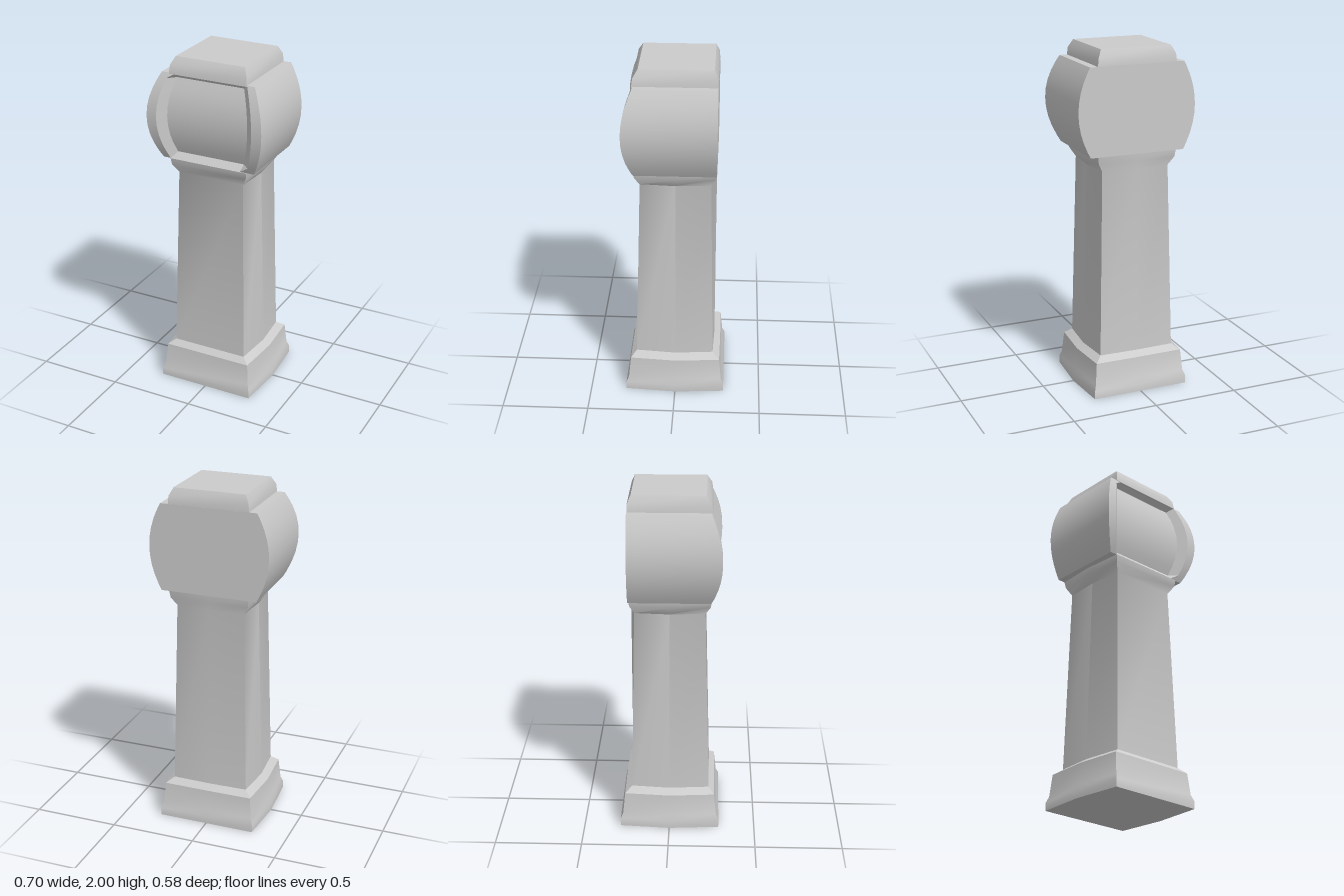
import * as THREE from 'three';
import { toCreasedNormals } from 'three/addons/utils/BufferGeometryUtils.js';

const material = new THREE.MeshStandardMaterial({ color: 0xcccccc });

// Skin over a stack of rings { y, pts: [[x, z], ...] }, closed at both ends.
function loft(name, rings) {
  const n = rings[0].pts.length, pos = [], index = [];
  rings.forEach(r => r.pts.forEach(([x, z]) => pos.push(x, r.y, z)));
  for (let i = 0; i < rings.length - 1; i++) {
    for (let j = 0; j < n; j++) {
      const a = i * n + j, b = i * n + (j + 1) % n;
      index.push(a, b, b + n, a, b + n, a + n);
    }
  }
  const last = (rings.length - 1) * n, bottom = pos.length / 3;
  pos.push(0, rings[0].y, 0, 0, rings[rings.length - 1].y, 0);
  for (let j = 0; j < n; j++) {
    const k = (j + 1) % n;
    index.push(bottom, k, j, bottom + 1, last + j, last + k);
  }
  const geo = new THREE.BufferGeometry();
  geo.setAttribute('position', new THREE.Float32BufferAttribute(pos, 3));
  geo.setIndex(index);
  const mesh = new THREE.Mesh(toCreasedNormals(geo, 0.6), material);
  mesh.name = name;
  return mesh;
}

// Adds the mirrored half to a list of points running from front to back on +x.
const mirror = half => [...half, ...half.filter(p => p[0] > 0).reverse().map(([x, z]) => [-x, z])];

// Rectangle with bowed sides and a bowed back.
const bowed = ([y, cornerX, midX, front, backCorner, backMid]) => ({
  y, pts: mirror([[cornerX, front], [midX, 0], [cornerX, backCorner], [0, backMid]]),
});

// Barrel section: bulging sides and front, sunken front panel, flat back.
function headRing(y, depth, inset) {
  const t = (y - 1.66) / 0.25, bulge = 1 - t * t;
  const w = 0.28 + 0.07 * bulge, f = 0.23 + 0.06 * bulge;
  const rim = 0.235 + 0.055 * bulge;
  return { y, pts: mirror([[rim - inset, f - depth], [rim, f], [w, f], [w, -0.23]]) };
}

export function createModel() {
  const group = new THREE.Group();
  group.name = 'pillar';

  // Foot with a stepped moulding
  group.add(loft('plinth', [
    [0, 0.288, 0.31, 0.29, -0.287, -0.287],
    [0.045, 0.288, 0.31, 0.29, -0.287, -0.287],
    [0.08, 0.276, 0.295, 0.275, -0.272, -0.272],
    [0.205, 0.265, 0.285, 0.262, -0.26, -0.262],
    [0.235, 0.225, 0.245, 0.23, -0.22, -0.226],
  ].map(bowed)));

  // Tapering shaft flaring out under the head
  group.add(loft('shaft', [
    [0.23, 0.225, 0.245, 0.23, -0.22, -0.226],
    [1.32, 0.2, 0.215, 0.2, -0.198, -0.226],
    [1.37, 0.23, 0.248, 0.228, -0.222, -0.229],
    [1.41, 0.235, 0.25, 0.235, -0.23, -0.23],
  ].map(bowed)));

  // Barrel-shaped head with a recessed front
  const rings = [headRing(1.41, 0, 0.04)];
  for (let i = 0; i <= 8; i++) rings.push(headRing(1.445 + 0.435 * i / 8, 0.045, 0.045));
  rings.push(headRing(1.91, 0, 0.04));
  group.add(loft('head', rings));

  // Bevelled cap
  group.add(loft('cap', [
    [1.905, 0.235, 0.235, -0.23],
    [1.955, 0.23, 0.228, -0.228],
    [2, 0.208, 0.2, -0.208],
  ].map(([y, x, front, back]) => ({ y, pts: mirror([[x, front], [x, back]]) }))));

  return group;
}
